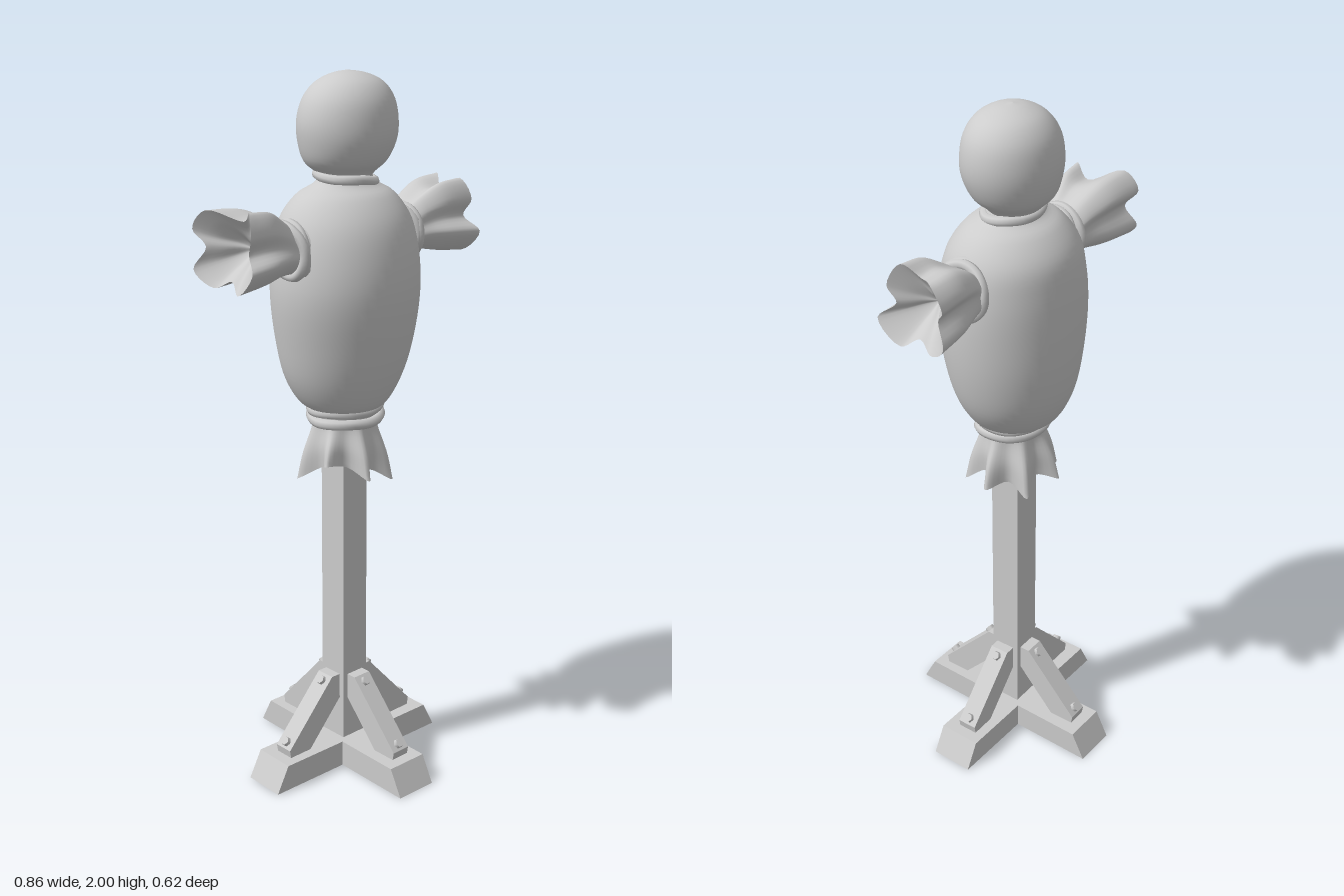
import * as THREE from 'three';

const grey = new THREE.MeshStandardMaterial({ color: 0xcccccc, side: THREE.DoubleSide });
grey.name = 'plain grey';

const V = (x, y, z) => new THREE.Vector3(x, y, z);

function add(parent, name, geometry) {
  const mesh = new THREE.Mesh(geometry, grey);
  mesh.name = name;
  parent.add(mesh);
  return mesh;
}

// Smooth skin through closed rings of control points
function skin(rings, around, along) {
  const loops = rings.map((r) => new THREE.CatmullRomCurve3(r, true, 'centripetal'));
  const pos = [], idx = [];
  for (let j = 0; j < around; j++) {
    const column = new THREE.CatmullRomCurve3(loops.map((c) => c.getPoint(j / around)), false, 'centripetal');
    for (let i = 0; i <= along; i++) {
      const p = column.getPoint(i / along);
      pos.push(p.x, p.y, p.z);
    }
  }
  const row = along + 1;
  for (let j = 0; j < around; j++) {
    const a = j * row, b = ((j + 1) % around) * row;
    for (let i = 0; i < along; i++) {
      idx.push(a + i, a + i + 1, b + i, b + i, a + i + 1, b + i + 1);
    }
  }
  const g = new THREE.BufferGeometry();
  g.setAttribute('position', new THREE.Float32BufferAttribute(pos, 3));
  g.setIndex(idx);
  g.computeVertexNormals();
  return g;
}

// Horizontal oval ring from its extents: height, -x, +x, -z, +z
function oval([y, x0, x1, z0, z1], n = 16) {
  return Array.from({ length: n }, (_, i) => {
    const a = (i / n) * Math.PI * 2;
    return V((x0 + x1) / 2 + Math.cos(a) * (x1 - x0) / 2, y, (z0 + z1) / 2 - Math.sin(a) * (z1 - z0) / 2);
  });
}

// Slightly wavy, tilted rope loop lying flat
function rope(rx, rz, thick, tilt, phase) {
  const pts = Array.from({ length: 12 }, (_, i) => {
    const a = (i / 12) * Math.PI * 2;
    return V(Math.cos(a) * rx, Math.cos(a + phase) * tilt + Math.sin(a * 3 + phase) * 0.003, Math.sin(a) * rz);
  });
  return new THREE.TubeGeometry(new THREE.CatmullRomCurve3(pts, true), 40, thick, 8, true);
}

// Crossed feet with sloping ends, post, four braces and their bolts
function buildStand() {
  const stand = new THREE.Group();
  stand.name = 'stand';
  add(stand, 'post', new THREE.BoxGeometry(0.09, 1.05, 0.09)).position.y = 0.525;

  const foot = new THREE.Shape([[-0.31, 0], [0.31, 0], [0.27, 0.077], [-0.27, 0.077]].map((p) => new THREE.Vector2(...p)));
  const footGeo = new THREE.ExtrudeGeometry(foot, { depth: 0.126, bevelEnabled: false }).translate(0, 0, -0.063);
  for (let i = 0; i < 2; i++) add(stand, 'foot', footGeo).rotation.y = -0.02 + i * Math.PI / 2;

  const brace = new THREE.Shape([[0.04, 0.28], [0.075, 0.28], [0.24, 0.1], [0.235, 0.073], [0.165, 0.073], [0.04, 0.21]]
    .map((p) => new THREE.Vector2(...p)));
  const braceGeo = new THREE.ExtrudeGeometry(brace, { depth: 0.058, bevelEnabled: false }).translate(0, 0, -0.029);
  const boltGeo = new THREE.CylinderGeometry(0.013, 0.016, 0.02, 6);
  for (let i = 0; i < 4; i++) {
    const side = new THREE.Group();
    side.name = 'braceAssembly';
    side.rotation.y = i * Math.PI / 2;
    add(side, 'brace', braceGeo);
    for (const [x, y] of [[0.089, 0.264], [0.227, 0.115]]) {
      const bolt = add(side, 'bolt', boltGeo);
      bolt.position.set(x, y, 0);
      bolt.rotation.z = -0.83;
    }
    stand.add(side);
  }
  return stand;
}

// Tied sack end forming an arm; s is +1 for left, -1 for right
function buildArm(s) {
  const arm = new THREE.Group();
  arm.name = s > 0 ? 'leftArm' : 'rightArm';
  // Ruffled outline of the open end as [z, y] about the arm axis
  const cuff = [[0.06, 0.105], [0.015, 0.075], [-0.06, 0.1], [-0.1, 0.05], [-0.072, 0.008], [-0.1, -0.05],
    [-0.045, -0.09], [0.0, -0.07], [0.045, -0.095], [0.108, -0.035], [0.068, 0.005], [0.088, 0.05]];
  const lip = [-0.03, -0.05, 0.01, 0.02, 0.0, 0.02, 0.0, -0.02, 0.0, 0.005, -0.02, -0.01];
  const ring = (x, blend, size, jitter, lift = 0) => cuff.map(([z, y], i) => {
    const l = Math.hypot(z, y);
    const k = blend * size + (1 - blend) * size * 0.09 / l;
    return V(s * (x + lip[i] * jitter), 1.575 + lift + y * k, z * k);
  });
  add(arm, 'sleeve', skin([
    ring(0.14, 0, 0.85, 0, -0.02), ring(0.2, 0.1, 0.7, 0, -0.02), ring(0.25, 0.4, 0.82, 0, -0.005),
    ring(0.32, 0.75, 1, 0.4, 0.003), ring(0.41, 1, 1.05, 1)], 60, 20));
  add(arm, 'sleeveInside', skin([
    ring(0.41, 1, 1.05, 1), ring(0.37, 0.9, 0.65, 0.6), ring(0.33, 0.6, 0.3, 0), ring(0.31, 0.5, 0.01, 0)], 60, 10));
  // Two coils around the wrist
  [[0.19, 0.01, 0.5], [0.212, -0.014, 2.4]].forEach(([x, tilt, phase]) => {
    const coil = add(arm, 'armRope', rope(0.07, 0.07, 0.014, tilt, phase));
    coil.position.set(s * x, 1.556, 0.007);
    coil.rotation.set(0, s * 0.12, s * Math.PI / 2);
  });
  return arm;
}

// Stuffed sack body, head and gathered hem
function buildSack() {
  const sack = new THREE.Group();
  sack.name = 'sack';
  add(sack, 'body', skin([
    [1.05, -0.085, 0.095, -0.085, 0.085], [1.08, -0.09, 0.1, -0.09, 0.09], [1.11, -0.125, 0.135, -0.13, 0.115],
    [1.18, -0.165, 0.18, -0.165, 0.145], [1.29, -0.193, 0.21, -0.185, 0.172], [1.43, -0.212, 0.222, -0.19, 0.19],
    [1.54, -0.2, 0.215, -0.185, 0.18], [1.62, -0.175, 0.195, -0.17, 0.155], [1.68, -0.13, 0.15, -0.125, 0.11],
    [1.71, -0.08, 0.1, -0.08, 0.065], [1.74, -0.055, 0.085, -0.07, 0.05]].map((r) => oval(r)), 48, 48));
  add(sack, 'head', skin([
    [1.71, -0.05, 0.08, -0.07, 0.045], [1.735, -0.065, 0.1, -0.09, 0.06], [1.765, -0.1, 0.135, -0.118, 0.09],
    [1.82, -0.119, 0.16, -0.134, 0.113], [1.875, -0.122, 0.165, -0.135, 0.115], [1.93, -0.105, 0.152, -0.122, 0.103],
    [1.97, -0.07, 0.12, -0.092, 0.075], [1.992, -0.025, 0.07, -0.05, 0.035], [2, 0.02, 0.021, -0.011, -0.01]].map((r) => oval(r)), 40, 36));

  const neck = add(sack, 'neckRope', rope(0.082, 0.07, 0.014, 0.01, 2.8));
  neck.position.set(0.015, 1.72, -0.01);
  [[1.092, 0.005, 0], [1.065, 0.009, 1]].forEach(([y, tilt, phase]) => {
    add(sack, 'waistRope', rope(0.1, 0.09, 0.015, tilt, phase)).position.set(0.005, y, 0);
  });

  // Hem folds: alternating outer and inner points with an uneven lower edge
  const drop = [0.0, 0.02, -0.03, 0.01, 0.0, 0.03, 0.045, 0.02, -0.02, 0.0, 0.0, 0.02, -0.015, 0.01];
  const n = drop.length;
  const hem = (y, r, fold, jag) => drop.map((d, i) => {
    const a = (i / n) * Math.PI * 2, k = r + (i % 2 ? -fold : fold);
    return V(Math.cos(a) * k, y + d * jag, Math.sin(a) * k);
  });
  add(sack, 'hem', skin([hem(1.08, 0.085, 0, 0), hem(1.04, 0.086, 0.006, 0), hem(0.97, 0.105, 0.016, 0.5), hem(0.905, 0.112, 0.026, 1)], 70, 14));
  add(sack, 'hemInside', skin([hem(0.905, 0.112, 0.026, 1), hem(0.94, 0.085, 0.015, 0.4), hem(0.98, 0.04, 0, 0)], 70, 6));
  return sack;
}

export function createModel() {
  const model = new THREE.Group();
  model.name = 'trainingDummy';
  model.add(buildStand(), buildSack(), buildArm(1), buildArm(-1));
  return model;
}
